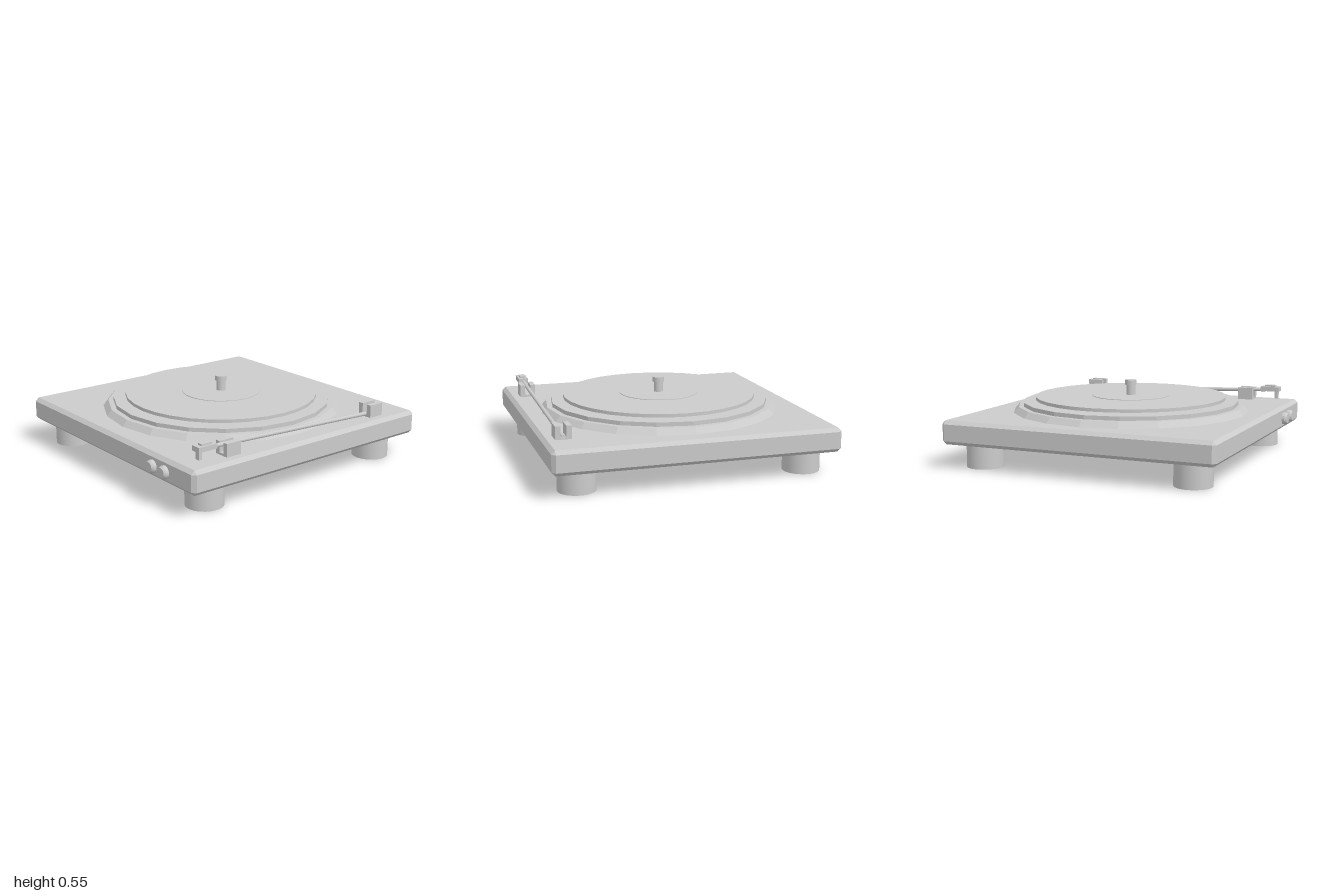
import * as THREE from 'three';
import { ConvexGeometry } from 'three/addons/geometries/ConvexGeometry.js';

const CZ = -0.02; // platter centre along z

export function createModel() {
  const root = new THREE.Group();
  root.name = 'turntable';
  const flat = new THREE.MeshStandardMaterial({ color: 0xcccccc, flatShading: true });
  const smooth = new THREE.MeshStandardMaterial({ color: 0xcccccc });

  const add = (name, geometry, x, y, z, material = flat) => {
    const mesh = new THREE.Mesh(geometry, material);
    mesh.name = name;
    mesh.position.set(x, y, z);
    root.add(mesh);
    return mesh;
  };
  // Box given by its limits on each axis
  const box = (name, x0, x1, y0, y1, z0, z1) =>
    add(name, new THREE.BoxGeometry(x1 - x0, y1 - y0, z1 - z0),
      (x0 + x1) / 2, (y0 + y1) / 2, (z0 + z1) / 2);
  // Upright cylinder between two heights
  const disc = (name, rTop, rBottom, y0, y1, x, z, sides, material = smooth) =>
    add(name, new THREE.CylinderGeometry(rTop, rBottom, y1 - y0, sides), x, (y0 + y1) / 2, z, material);

  // Plinth: box with every edge chamfered
  const w = 0.98, h = 0.083, d = 0.983, c = 0.025;
  const corners = [];
  for (const sx of [-1, 1]) for (const sy of [-1, 1]) for (const sz of [-1, 1]) {
    corners.push(
      new THREE.Vector3(sx * w, sy * (h - c), sz * (d - c)),
      new THREE.Vector3(sx * (w - c), sy * h, sz * (d - c)),
      new THREE.Vector3(sx * (w - c), sy * (h - c), sz * d));
  }
  add('plinth', new ConvexGeometry(corners), 0, 0.248, -0.017);

  // Feet
  for (const [x, z] of [[0.778, 0.73], [-0.787, 0.755], [0.778, -0.768], [-0.787, -0.768]]) {
    disc('foot', 0.128, 0.128, 0, 0.17, x, z, 32);
  }

  // Faceted platter and mat
  disc('platter', 0.812, 0.85, 0.328, 0.372, 0, CZ, 20, flat);
  disc('platterMat', 0.775, 0.775, 0.37, 0.4, 0, CZ, 20, flat);

  // Record, label and spindle
  disc('record', 0.685, 0.685, 0.411, 0.434, 0, CZ, 32);
  disc('recordLabel', 0.28, 0.28, 0.43, 0.438, 0, CZ, 32);
  disc('spindle', 0.033, 0.033, 0.138, 0.515, 0, CZ, 24);
  disc('spindleCap', 0.041, 0.041, 0.51, 0.545, 0, CZ, 24);

  // Control knobs on the front edge
  const knobProfile = [[0, 0], [0.044, 0], [0.044, 0.023], [0.034, 0.038], [0, 0.038]]
    .map(([r, y]) => new THREE.Vector2(r, y));
  for (const x of [0.55, 0.683]) {
    add('knob', new THREE.LatheGeometry(knobProfile, 24), x, 0.244, 0.962).rotation.x = Math.PI / 2;
  }

  // Slotted tonearm supports
  const slot = new THREE.Shape([
    [-0.055, 0], [0.055, 0], [0.055, 0.092], [0.02, 0.092],
    [0.02, 0.018], [-0.02, 0.018], [-0.02, 0.092], [-0.055, 0.092],
  ].map(([x, y]) => new THREE.Vector2(x, y)));
  for (const z of [-0.74, 0.535]) {
    const support = new THREE.ExtrudeGeometry(slot, { depth: 0.115, bevelEnabled: false });
    add('tonearmSupport', support, 0.85, 0.328, z);
  }

  // Sloping tonearm rod
  const start = new THREE.Vector3(0.85, 0.344, -0.73);
  const end = new THREE.Vector3(0.85, 0.408, 0.74);
  add('tonearm', new THREE.TubeGeometry(new THREE.LineCurve3(start, end), 1, 0.014, 12), 0, 0, 0, smooth);
  for (const [p, turn] of [[start, Math.PI], [end, 0]]) {
    add('tonearmEnd', new THREE.CircleGeometry(0.014, 12), p.x, p.y, p.z).rotation.y = turn;
  }

  // Headshell, finger plate and cartridge
  box('headshell', 0.815, 0.886, 0.4, 0.434, 0.71, 0.853);
  box('headshellPlate', 0.832, 0.87, 0.43, 0.446, 0.74, 0.82);
  box('cartridge', 0.834, 0.868, 0.345, 0.404, 0.815, 0.84);

  return root;
}
